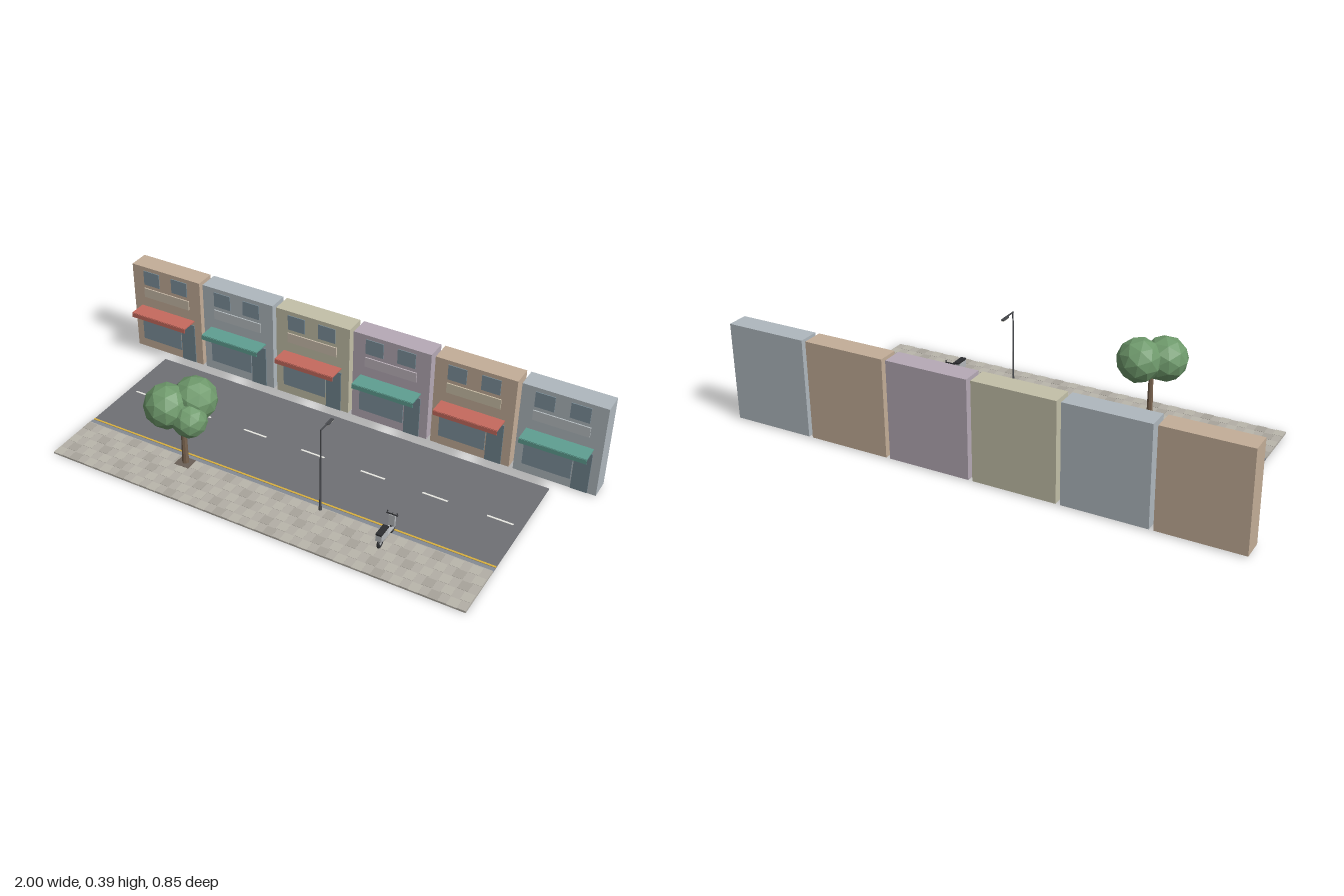
import * as THREE from 'three';

const mat = (color) => new THREE.MeshStandardMaterial({ color, flatShading: true });
const M = {
  road: mat(0x6f7075), kerb: mat(0x858b94), pave: mat(0xb3afa6), tileA: mat(0xbab6ac), tileB: mat(0xa8a49b),
  line: mat(0xe8e8e2), yellow: mat(0xd8b040), glass: mat(0x7d919c), door: mat(0x71858f),
  red: mat(0xc66a5e), teal: mat(0x5f9f92), bark: mat(0x7a6450), leaf: mat(0x6f9a6c), soil: mat(0x6b6057),
  metal: mat(0x4a4c50), lamp: mat(0xd8d6c8), dark: mat(0x2c2d30), body: mat(0xb4b7ba),
};

function add(parent, name, geometry, material, x, y, z) {
  const m = new THREE.Mesh(geometry, material);
  m.name = name;
  m.position.set(x, y, z);
  parent.add(m);
  return m;
}

// box given by its extents on each axis
function span(parent, name, material, [x0, x1], [y0, y1], [z0, z1]) {
  return add(parent, name, new THREE.BoxGeometry(x1 - x0, y1 - y0, z1 - z0), material,
    (x0 + x1) / 2, (y0 + y1) / 2, (z0 + z1) / 2);
}

function group(parent, name, x = 0, y = 0, z = 0) {
  const g = new THREE.Group();
  g.name = name;
  g.position.set(x, y, z);
  parent.add(g);
  return g;
}

// one shop house, local x = 0 at its middle, real y and z
function shop(parent, x, wall, sign, awning) {
  const g = group(parent, 'shopHouse', x);
  const front = -0.346;
  span(g, 'wall', wall, [-0.16, 0.16], [0.006, 0.387], [-0.428, front]);
  for (const wx of [-0.07, 0.062])
    span(g, 'upperWindow', M.glass, [wx - 0.037, wx + 0.037], [0.307, 0.37], [front, -0.343]);
  span(g, 'signBoard', sign, [-0.108, 0.106], [0.25, 0.291], [front, -0.341]);
  span(g, 'shopWindow', M.glass, [-0.128, 0.058], [0.045, 0.183], [front, -0.343]);
  span(g, 'shopDoor', M.door, [0.063, 0.127], [0.008, 0.183], [front, -0.342]);
  span(g, 'awning', awning, [-0.127, 0.127], [0.2, 0.205], [-0.276, front].sort((a, b) => a - b));
  span(g, 'awningValance', awning, [-0.127, 0.127], [0.185, 0.203], [-0.277, -0.274]);
}

function street(parent) {
  const g = group(parent, 'street');
  span(g, 'road', M.road, [-0.84, 0.84], [0, 0.004], [-0.305, 0.2]);
  span(g, 'kerb', M.kerb, [-0.84, 0.84], [0.001, 0.007], [0.183, 0.2]);
  span(g, 'yellowLine', M.yellow, [-0.84, 0.84], [0.004, 0.005], [0.17, 0.178]);
  for (let i = -3; i <= 3; i++)
    span(g, 'laneDash', M.line, [i * 0.252 - 0.05, i * 0.252 + 0.05], [0.004, 0.005], [-0.06, -0.052]);
  span(g, 'pavement', M.pave, [-0.84, 0.84], [0, 0.008], [0.2, 0.42]);
  // staggered paving stones
  for (let row = 0; row < 5; row++)
    for (let i = 0; i < 24; i++) {
      const x = -0.84 + i * 0.07 + (row % 2) * 0.03;
      const z = 0.205 + row * 0.044;
      span(g, 'pavingStone', (i + row * 2) % 3 ? M.tileA : M.tileB,
        [x, x + 0.038], [0.002, 0.0088], [z, z + 0.041]);
    }
}

function tree(parent) {
  const g = group(parent, 'tree', -0.38, 0, 0.225);
  span(g, 'treePit', M.soil, [-0.03, 0.03], [0.004, 0.0095], [-0.024, 0.03]);
  add(g, 'trunk', new THREE.CylinderGeometry(0.009, 0.013, 0.23, 8), M.bark, 0, 0.12, 0);
  const crowns = [[-0.036, 0.276, 0.04, 0.086], [0.033, 0.286, -0.036, 0.085], [0.055, 0.242, 0.035, 0.066]];
  crowns.forEach(([x, y, z, r], i) => {
    const c = add(g, 'foliage', new THREE.IcosahedronGeometry(r, 1), M.leaf, x, y, z);
    c.rotation.set(i * 0.5, i * 0.9, 0);
  });
}

function streetLamp(parent) {
  const g = group(parent, 'streetLamp', 0.184, 0, 0.213);
  add(g, 'lampBase', new THREE.CylinderGeometry(0.006, 0.007, 0.014, 8), M.metal, 0, 0.014, 0);
  add(g, 'lampPole', new THREE.CylinderGeometry(0.0028, 0.004, 0.352, 8), M.metal, 0, 0.184, 0);
  span(g, 'lampArm', M.metal, [-0.002, 0.002], [0.355, 0.36], [-0.066, 0.003]);
  span(g, 'lampHead', M.metal, [-0.006, 0.006], [0.352, 0.357], [-0.08, -0.042]);
  span(g, 'lampGlass', M.lamp, [-0.005, 0.005], [0.349, 0.352], [-0.079, -0.044]);
}

function scooter(parent) {
  const g = group(parent, 'scooter', 0.458);
  for (const z of [0.285, 0.193]) {
    add(g, 'tyre', new THREE.TorusGeometry(0.0155, 0.005, 8, 18), M.dark, 0, 0.029, z).rotation.y = Math.PI / 2;
    add(g, 'wheelHub', new THREE.CylinderGeometry(0.008, 0.008, 0.007, 12), M.body, 0, 0.029, z).rotation.z = Math.PI / 2;
  }
  span(g, 'footDeck', M.body, [-0.011, 0.011], [0.037, 0.042], [0.193, 0.275]);
  span(g, 'rearBody', M.body, [-0.012, 0.012], [0.043, 0.07], [0.249, 0.298]);
  span(g, 'seat', M.dark, [-0.011, 0.011], [0.07, 0.077], [0.243, 0.3]);
  span(g, 'legShield', M.body, [-0.012, 0.012], [0.04, 0.09], [0.193, 0.202]);
  add(g, 'steeringStem', new THREE.CylinderGeometry(0.0025, 0.0025, 0.066, 8), M.metal, 0, 0.062, 0.194);
  add(g, 'handlebar', new THREE.CylinderGeometry(0.0025, 0.0025, 0.044, 8), M.dark, 0, 0.093, 0.199).rotation.z = Math.PI / 2;
  add(g, 'headlamp', new THREE.SphereGeometry(0.005, 10, 8), M.lamp, 0, 0.084, 0.191);
  for (const s of [-1, 1])
    add(g, 'mirror', new THREE.SphereGeometry(0.003, 8, 6), M.dark, s * 0.018, 0.1, 0.197);
}

export function createModel() {
  const model = new THREE.Group();
  model.name = 'shoppingStreet';
  const walls = [0xc4ae98, 0xafb8be, 0xc3c0a8, 0xb6aab6, 0xc4ae98, 0xafb8be].map(mat);
  const signs = [0xc9bba8, 0xb8bfc2, 0xccbfae, 0xbfb5bd, 0xccc0a8, 0xb8bfc2].map(mat);
  walls.forEach((wall, i) => shop(model, -0.84 + i * 0.336, wall, signs[i], i % 2 ? M.teal : M.red));
  street(model);
  tree(model);
  streetLamp(model);
  scooter(model);
  return model;
}
